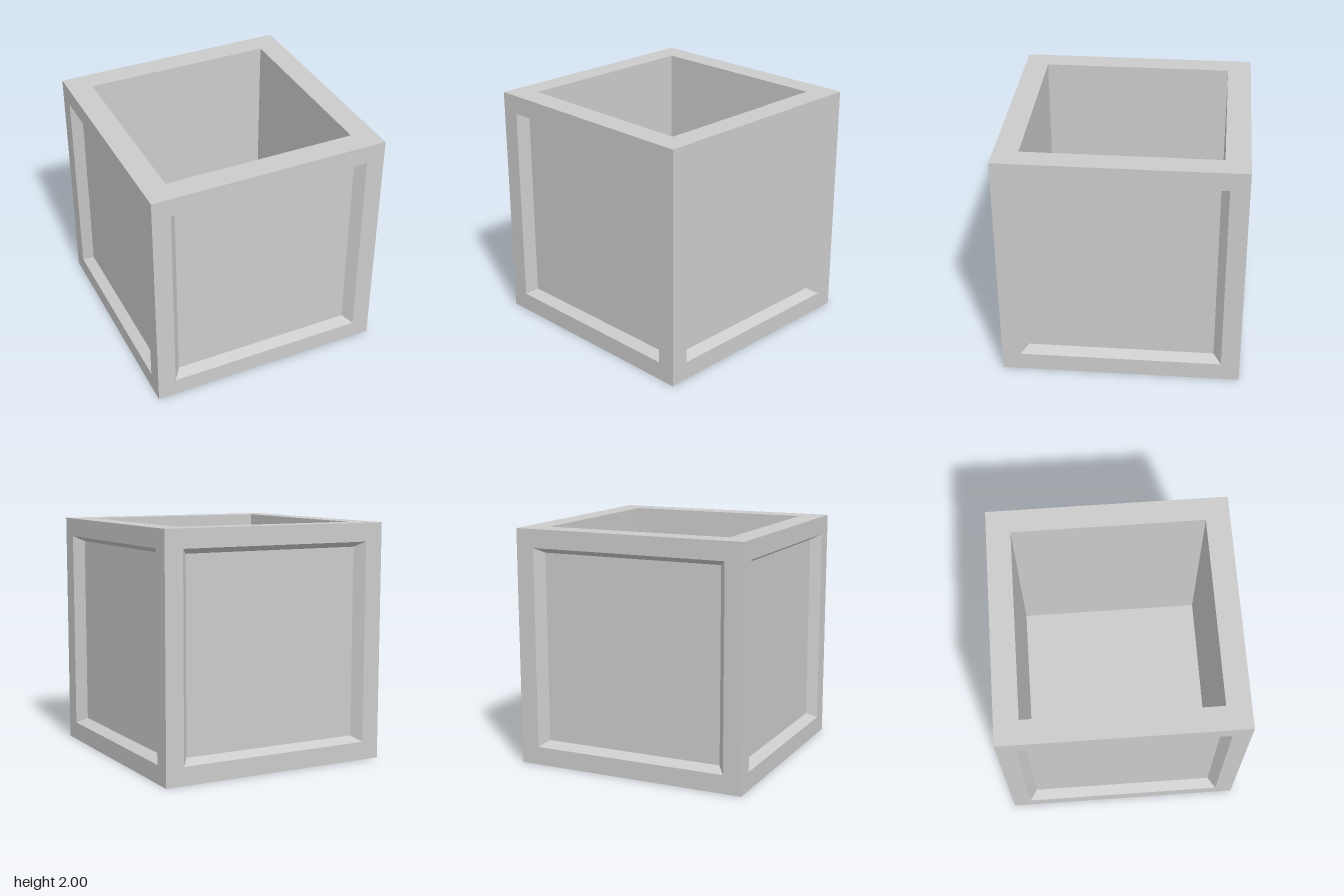
import * as THREE from 'three';

const material = new THREE.MeshStandardMaterial({ color: 0xcccccc, flatShading: true });

// Builds a face looking along +z from nested rectangles [halfWidth, halfHeight, z],
// outermost first: bands join neighbouring rectangles, the last one is capped.
function steppedFace(rings) {
  const corners = rings.map(([w, h, z]) => [[-w, -h, z], [w, -h, z], [w, h, z], [-w, h, z]]);
  const positions = [];
  const quad = (a, b, c, d) => positions.push(...a, ...b, ...c, ...a, ...c, ...d);
  for (let r = 0; r < corners.length - 1; r++) {
    const outer = corners[r], inner = corners[r + 1];
    for (let i = 0; i < 4; i++) {
      const j = (i + 1) % 4;
      quad(outer[i], outer[j], inner[j], inner[i]);
    }
  }
  quad(...corners[corners.length - 1]);
  const geometry = new THREE.BufferGeometry();
  geometry.setAttribute('position', new THREE.Float32BufferAttribute(positions, 3));
  geometry.computeVertexNormals();
  return geometry;
}

export function createModel() {
  const group = new THREE.Group();
  group.name = 'planterBox';

  const add = (name, geometry) => {
    const mesh = new THREE.Mesh(geometry, material);
    mesh.name = name;
    mesh.position.y = 1;
    group.add(mesh);
    return mesh;
  };

  // Four side walls, each a frame around a bevelled recessed panel
  const wall = steppedFace([[1, 1, 1], [0.845, 0.845, 1], [0.78, 0.8, 0.915]]);
  ['frontWall', 'leftWall', 'backWall', 'rightWall'].forEach((name, i) => {
    add(name, wall).rotation.y = (i * Math.PI) / 2;
  });

  // Top rim with the open cavity and its floor
  const cavity = steppedFace([[1, 1, 1], [0.8, 0.8, 1], [0.8, 0.8, -0.8]]);
  add('rimAndCavity', cavity).rotation.x = -Math.PI / 2;

  // Flat underside
  add('underside', steppedFace([[1, 1, 1]])).rotation.x = Math.PI / 2;

  return group;
}
